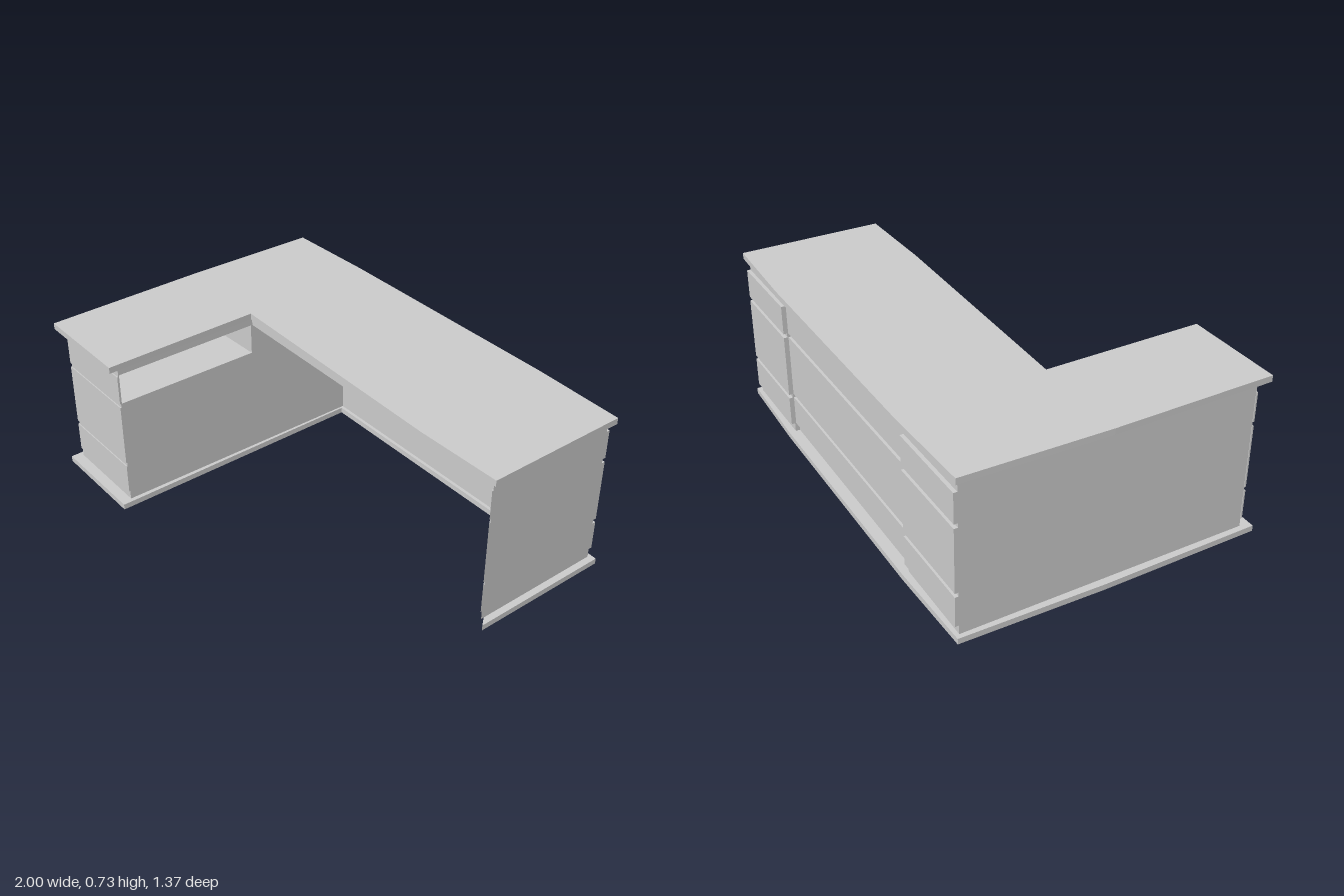
import * as THREE from 'three';

const material = new THREE.MeshStandardMaterial({ color: 0xcccccc, flatShading: true });

// Horizontal slab from a plan outline of [x, z] points, between two heights
function slab(name, points, y0, y1) {
  const shape = new THREE.Shape(points.map(([x, z]) => new THREE.Vector2(x, -z)));
  const geometry = new THREE.ExtrudeGeometry(shape, { depth: y1 - y0, bevelEnabled: false });
  geometry.rotateX(-Math.PI / 2);
  geometry.translate(0, y0, 0);
  const mesh = new THREE.Mesh(geometry, material);
  mesh.name = name;
  return mesh;
}

export function createModel() {
  const desk = new THREE.Group();
  desk.name = 'cornerDesk';

  // Outer edge shared by worktop and base, from the front of the wing round the back
  const outerEdge = [
    [-0.525, 0.68], [-0.99, 0.68], [-1, -0.04], [-0.99, -0.672],
    [-0.57, -0.685], [0.57, -0.685], [1, -0.672], [1, -0.02],
  ];
  desk.add(slab('worktop', [...outerEdge, [0.6, -0.013], [-0.535, -0.037]], 0.702, 0.73));
  desk.add(slab('basePlate', [...outerEdge, [0.56, -0.555], [-0.535, -0.555]], 0, 0.026));

  // Carcass: the centre of the back is set in from the two end sections
  const backEdge = [
    [-0.97, -0.655], [-0.565, -0.655], [-0.565, -0.635],
    [0.565, -0.635], [0.565, -0.655], [0.97, -0.655], [0.97, -0.042],
  ];
  const kneeWall = [[0.553, -0.57], [-0.545, -0.57]];
  const wingEnd = [[-0.545, 0.632], [-0.965, 0.632]];
  desk.add(slab('lowerCarcass', [...backEdge, ...kneeWall, ...wingEnd], 0.026, 0.525));

  // Open shelf cut into the inner side of the wing
  const niche = [[-0.545, -0.042], [-0.92, -0.028], [-0.92, 0.618], [-0.545, 0.628]];
  desk.add(slab('shelfCarcass', [...backEdge, ...kneeWall, ...niche, ...wingEnd], 0.525, 0.665));

  // Rail under the worktop
  desk.add(slab('topRail', [...backEdge, [-0.545, -0.05], ...wingEnd], 0.665, 0.702));

  // Raised panels in three rows, leaving grooves between them
  const rows = [[0.067, 0.202], [0.22, 0.506], [0.525, 0.657]];
  rows.forEach(([y0, y1]) => {
    const strip = (name, x0, x1, z0, z1) =>
      desk.add(slab(name, [[x0, z0], [x1, z0], [x1, z1], [x0, z1]], y0, y1));
    strip('rightBackPanel', -0.97, -0.565, -0.671, -0.65);
    strip('leftBackPanel', 0.565, 0.97, -0.671, -0.65);
    strip('centreBackPanel', -0.565, 0.565, -0.65, -0.63);
    strip('wingDrawerFront', -0.968, -0.545, 0.63, 0.637);
    // Slanted drawer fronts of the end pedestal
    desk.add(slab('pedestalDrawerFront',
      [[0.553, -0.57], [0.97, -0.042], [0.97, -0.036], [0.55, -0.567]], y0, y1));
  });

  return desk;
}
